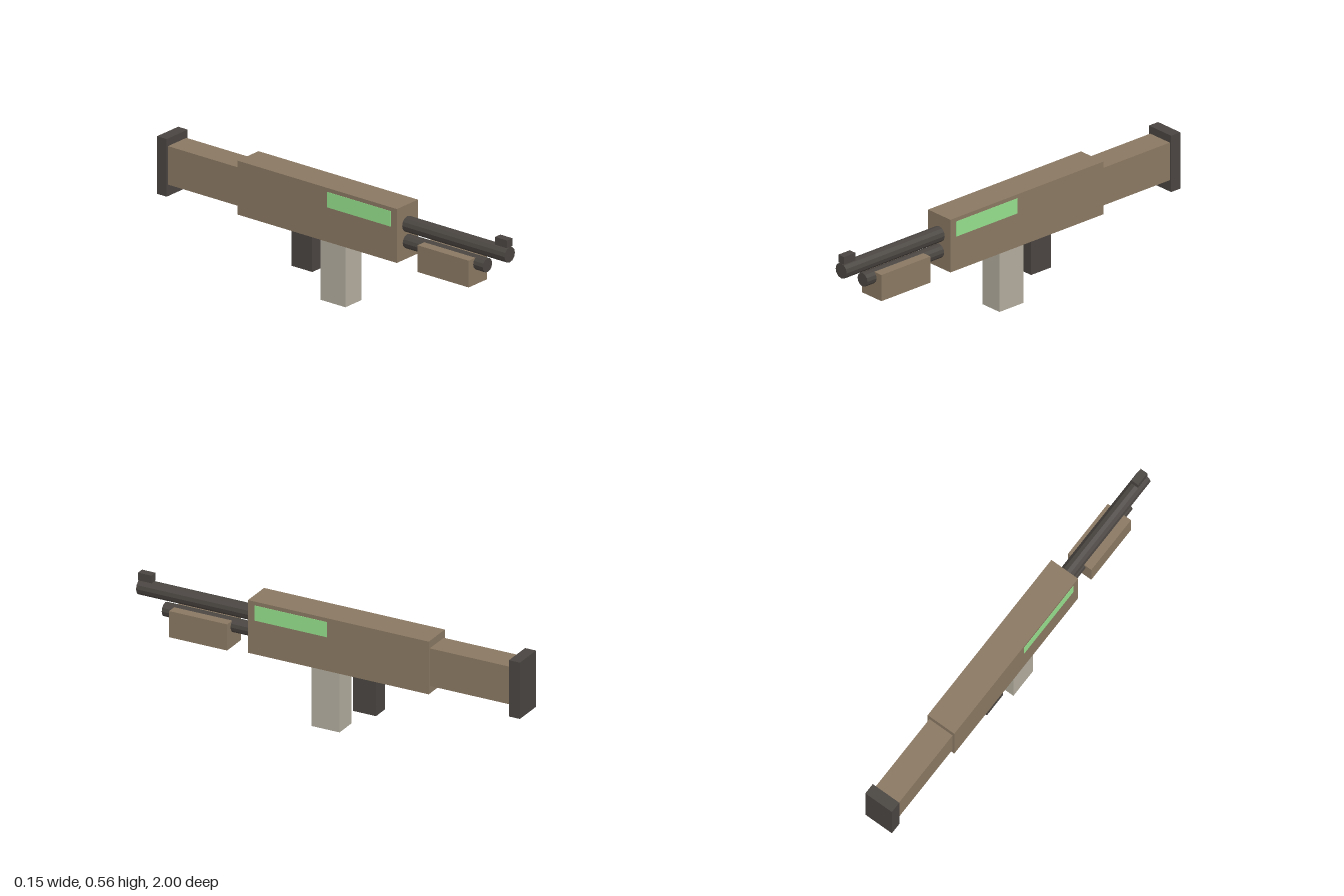
import * as THREE from 'three';

const material = (color) => new THREE.MeshStandardMaterial({ color, flatShading: true });

export function createModel() {
  const model = new THREE.Group();
  const brown = material(0x8a7862);
  const dark = material(0x4a4541);
  const pale = material(0xb2ac9d);
  const green = material(0x95e08d);

  const add = (name, geometry, mat, x, y, z) => {
    const mesh = new THREE.Mesh(geometry, mat);
    mesh.name = name;
    mesh.position.set(x, y, z);
    model.add(mesh);
  };

  // Box centred on x = 0, given by its width and its y and z ranges
  const block = (name, mat, width, y0, y1, z0, z1) =>
    add(name, new THREE.BoxGeometry(width, y1 - y0, z1 - z0), mat, 0, (y0 + y1) / 2, (z0 + z1) / 2);

  // Twelve-sided rod along z
  const rod = (name, radius, y, z0, z1) =>
    add(name, new THREE.CylinderGeometry(radius, radius, z1 - z0, 12).rotateX(Math.PI / 2),
      dark, 0, y, (z0 + z1) / 2);

  // Body and stock
  block('receiver', brown, 0.15, 0.301, 0.563, -0.53, 0.402);
  block('stock', brown, 0.131, 0.339, 0.526, -0.945, -0.53);
  block('buttPlate', dark, 0.15, 0.283, 0.563, -1, -0.944);

  // Barrel, lower tube with sliding handguard, and sight
  rod('barrel', 0.0373, 0.469, 0.4, 1);
  rod('lowerTube', 0.0335, 0.385, 0.4, 0.87);
  block('handguard', brown, 0.131, 0.283, 0.413, 0.515, 0.814);
  block('frontSight', dark, 0.0375, 0.506, 0.544, 0.93, 1);

  // Parts under the body
  block('magazine', pale, 0.113, 0, 0.301, -0.06, 0.086);
  block('grip', dark, 0.084, 0.115, 0.301, -0.24, -0.12);

  // Thin coloured panel on each side
  for (const side of [-1, 1]) {
    add(side > 0 ? 'leftPanel' : 'rightPanel', new THREE.BoxGeometry(0.004, 0.075, 0.373),
      green, side * 0.0745, 0.5065, 0.181);
  }
  return model;
}
